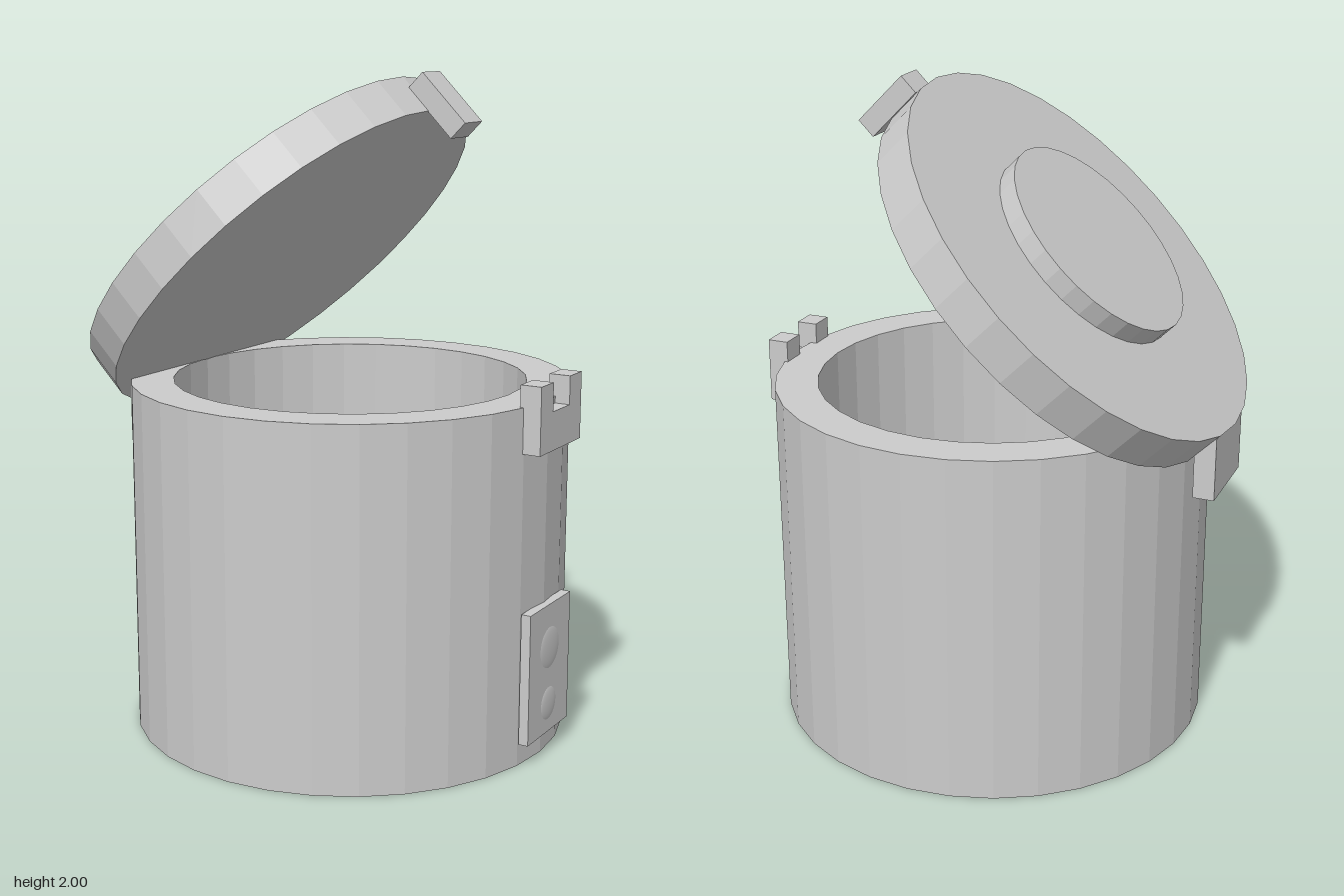
import * as THREE from 'three';

const SIDES = 32;
const material = new THREE.MeshStandardMaterial({ color: 0xcccccc, flatShading: true });
const smoothMaterial = new THREE.MeshStandardMaterial({ color: 0xcccccc });

function part(name, geometry, x, y, z, parent, mat = material) {
  const mesh = new THREE.Mesh(geometry, mat);
  mesh.name = name;
  mesh.position.set(x, y, z);
  parent.add(mesh);
  return mesh;
}

export function createModel() {
  const model = new THREE.Group();
  model.name = 'hingedCanister';

  // Thick-walled round body, open at the top
  const R = 0.67, r = 0.54, H = 1.08, floor = 0.13;
  const profile = [[0, 0], [R, 0], [R, H], [r, H], [r, floor], [0, floor]]
    .map(([x, y]) => new THREE.Vector2(x, y));
  part('body', new THREE.LatheGeometry(profile, SIDES), 0.03, 0, 0, model);

  // Hinge block behind the lid's low edge
  part('hinge', new THREE.BoxGeometry(0.065, 0.2, 0.27), -0.687, 0.943, 0, model);

  // U-shaped catch on the rim
  const u = new THREE.Shape([
    [-0.135, -0.1], [0.135, -0.1], [0.135, 0.1], [0.055, 0.1],
    [0.055, 0.015], [-0.055, 0.015], [-0.055, 0.1], [-0.135, 0.1],
  ].map(([x, y]) => new THREE.Vector2(x, y)));
  const catchGeometry = new THREE.ExtrudeGeometry(u, { depth: 0.065, bevelEnabled: false });
  catchGeometry.rotateY(Math.PI / 2);
  part('catch', catchGeometry, 0.675, 1.045, 0, model);

  // Control panel with two shallow domed buttons
  part('panel', new THREE.BoxGeometry(0.03, 0.4, 0.27), 0.708, 0.27, 0, model);
  for (const [name, y, radius] of [['upperButton', 0.335, 0.068], ['lowerButton', 0.16, 0.054]]) {
    const button = part(name, new THREE.SphereGeometry(radius, 24, 16), 0.72, y, 0, model, smoothMaterial);
    button.scale.x = 0.008 / radius;
  }

  // Lid tilted open, with a raised disc and a clasp on its free edge
  const lid = new THREE.Group();
  lid.name = 'lid';
  lid.position.set(-0.217, 1.465, 0);
  lid.rotation.z = Math.PI / 4;
  model.add(lid);
  part('lidPlate', new THREE.CylinderGeometry(R, R, 0.134, SIDES), 0, 0, 0, lid);
  part('lidDisc', new THREE.CylinderGeometry(R / 2, R / 2, 0.07, SIDES), 0, 0.095, 0, lid);
  part('clasp', new THREE.BoxGeometry(0.065, 0.2, 0.105), 0.699, -0.074, -0.038, lid);

  return model;
}
